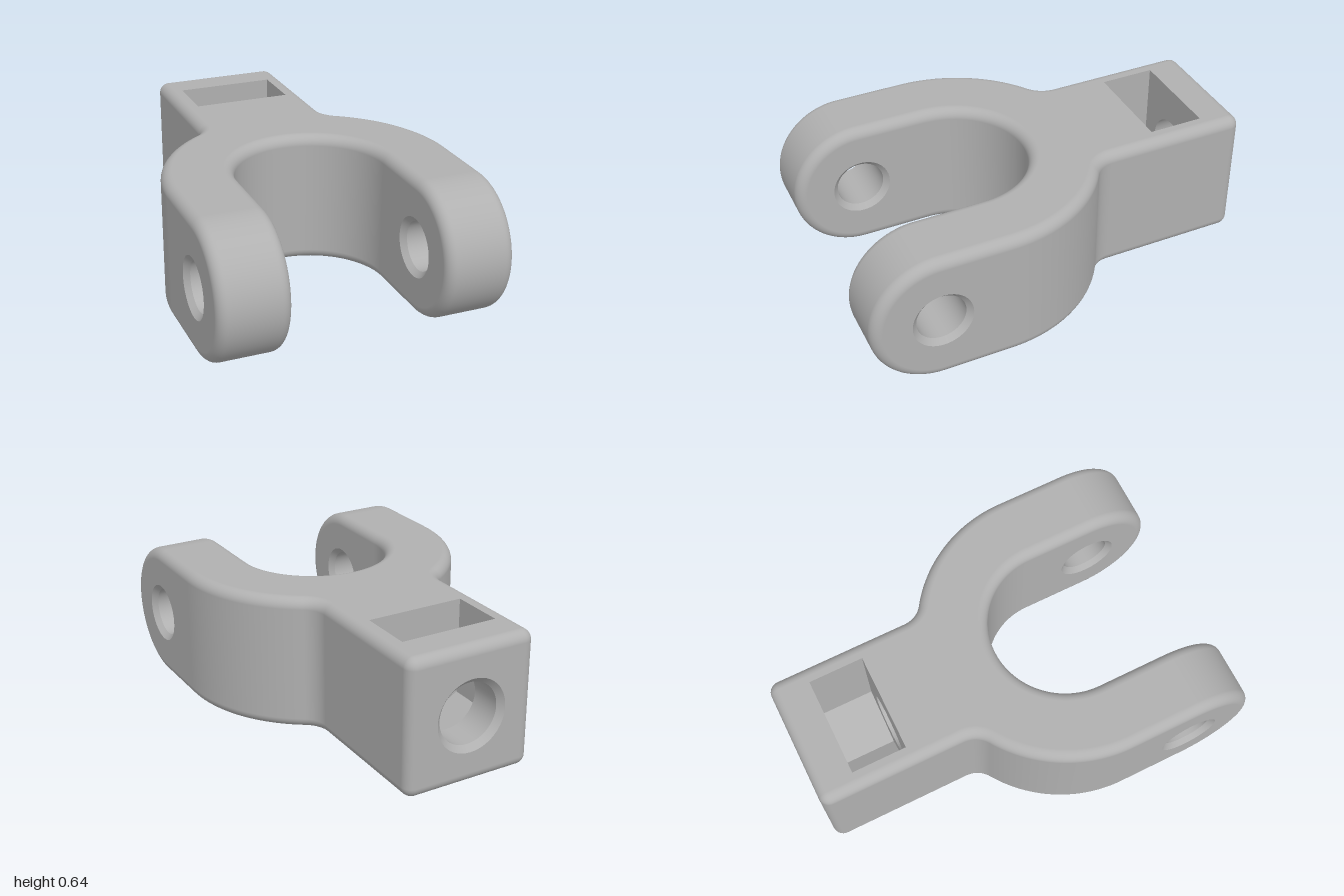
import * as THREE from 'three';

const H = 0.645, MID = H / 2, R = 0.05;          // body height and edge rounding
const INNER = 0.35, OUTER = 0.675, ZC = 0.35;    // fork arch radii and centre
const PIN_Z = 1 - MID, PIN_R = 0.115, PIN_CH = 0.025;
const BLOCK = 0.315, BLEND = 0.12;               // shank half width, neck blend
const SLOT = 0.235, SLOT_BACK = -0.82, SLOT_FRONT = -0.56;
const BORE_R = 0.145, BORE_CH = 0.027, BORE_END = -0.36;

const grey = new THREE.MeshStandardMaterial({ color: 0xb0b0b0, side: THREE.DoubleSide });
grey.name = 'light grey';

// Path points carry a position and an outward normal; sign -1 makes a concave arc
function arc(cx, cy, r, a0, a1, steps, sign = 1) {
  const pts = [];
  for (let i = 0; i <= steps; i++) {
    const a = a0 + (a1 - a0) * i / steps, c = Math.cos(a), s = Math.sin(a);
    pts.push({ u: cx + r * c, v: cy + r * s, nu: sign * c, nv: sign * s });
  }
  return pts;
}
const inset = (path, d) => path.map(p => new THREE.Vector2(p.u - p.nu * d, p.v - p.nv * d));

// Wall of given width along a path, both long edges rounded
function roundedWall(path, width, place, skipFlat = false) {
  const K = 8, prof = [];
  for (let i = 0; i <= 2 * K + 1; i++) {
    const top = i > K;
    const a = (top ? (i - K - 1) / K : i / K - 1) * Math.PI / 2;
    prof.push({ h: (top ? width - R : R) + R * Math.sin(a), d: R - R * Math.cos(a), c: Math.cos(a), s: Math.sin(a) });
  }
  const pos = [], nor = [], idx = [], P = [], N = [], n = prof.length;
  for (const p of path) for (const q of prof) {
    P.push(place(p.u - p.nu * q.d, p.v - p.nv * q.d, q.h));
    N.push(place(p.nu * q.c, p.nv * q.c, q.s).sub(place(0, 0, 0)));
  }
  P.forEach(p => pos.push(p.x, p.y, p.z));
  N.forEach(p => nor.push(p.x, p.y, p.z));
  const tri = (a, b, c) => {
    const g = P[b].clone().sub(P[a]).cross(P[c].clone().sub(P[a]));
    if (g.lengthSq() < 1e-16) return;
    idx.push(...(g.dot(N[a].clone().add(N[b]).add(N[c])) > 0 ? [a, b, c] : [a, c, b]));
  };
  for (let i = 0; i < path.length - 1; i++) for (let j = 0; j < n - 1; j++) {
    if (skipFlat && j === K) continue;
    const a = i * n + j, b = a + n;
    tri(a, b, b + 1);
    tri(a, b + 1, a + 1);
  }
  const g = new THREE.BufferGeometry();
  g.setAttribute('position', new THREE.Float32BufferAttribute(pos, 3));
  g.setAttribute('normal', new THREE.Float32BufferAttribute(nor, 3));
  g.setIndex(idx);
  return g;
}

// Flat plate with an optional round or polygonal opening
function plate(points, hole) {
  const s = new THREE.Shape(points);
  if (hole) s.holes.push(new THREE.Path(hole));
  return new THREE.ShapeGeometry(s);
}
const circle = (x, y, r) => arc(x, y, r, 0, Math.PI * 2, 48).slice(0, -1).map(p => new THREE.Vector2(p.u, p.v));
const rect = (x0, y0, x1, y1) => [[x0, y0], [x1, y0], [x1, y1], [x0, y1]].map(p => new THREE.Vector2(...p));
// Inward-facing bore wall from height h0 up to h1
const bore = (r0, h0, r1, h1) => new THREE.LatheGeometry([new THREE.Vector2(r1, h1), new THREE.Vector2(r0, h0)], 48);

function add(group, name, geometry) {
  const m = new THREE.Mesh(geometry, grey);
  m.name = name;
  group.add(m);
}

function makeBody() {
  const g = new THREE.Group();
  g.name = 'yokeBody';
  const place = (u, v, h) => new THREE.Vector3(u, h, v);

  // One side of the plan: shoulder arc, concave neck, straight shank, back corner
  const bx = BLOCK + BLEND, reach = OUTER + BLEND;
  const bz = ZC - Math.sqrt(reach * reach - bx * bx);
  const t = Math.atan2(bz - ZC, bx);
  const half = [
    ...arc(0, ZC, OUTER, 0, t, 40),
    ...arc(bx, bz, BLEND, t + Math.PI, Math.PI, 12, -1),
    ...arc(BLOCK - R, R - 1, R, 0, -Math.PI / 2, 8),
  ];
  const mirrored = half.map(p => ({ ...p, u: -p.u, nu: -p.nu })).reverse();
  const arch = arc(0, ZC, INNER, Math.PI, Math.PI * 2, 64, -1);
  add(g, 'leftWall', roundedWall(half, H, place));
  add(g, 'rightWall', roundedWall(mirrored, H, place));
  add(g, 'forkArch', roundedWall(arch, H, place));
  add(g, 'backEdges', roundedWall([half[half.length - 1], mirrored[0]], H, place, true));

  // Top with the slot opening, and the underside
  const plan = [...inset(half, R), ...inset(mirrored, R), ...inset(arch, R)];
  const flip = pts => pts.map(p => new THREE.Vector2(p.x, -p.y));
  const opening = rect(-SLOT, SLOT_BACK, SLOT, SLOT_FRONT);
  add(g, 'topFace', plate(flip(plan), flip(opening)).rotateX(-Math.PI / 2).translate(0, H, 0));
  add(g, 'underside', plate(plan).rotateX(Math.PI / 2));

  // Back face
  const w = BLOCK - R;
  add(g, 'backFace', plate(rect(-w, R, w, H - R), circle(0, MID, BORE_R + BORE_CH)).rotateY(Math.PI).translate(0, 0, -1));
  return g;
}

// Nut slot with a V floor, crossed by the lengthwise bore
function makeSlot() {
  const g = new THREE.Group();
  g.name = 'nutSlot';
  const k = SLOT / Math.sqrt(3);
  const section = [[-SLOT, H], [-SLOT, MID - k], [0, MID - 2 * k], [SLOT, MID - k], [SLOT, H]].map(p => new THREE.Vector2(...p));
  const depth = SLOT_FRONT - SLOT_BACK;
  for (let i = 0; i < 4; i++) {
    const a = section[i], b = section[i + 1];
    const face = new THREE.PlaneGeometry(a.distanceTo(b), depth).rotateX(-Math.PI / 2);
    face.rotateZ(Math.atan2(b.y - a.y, b.x - a.x));
    face.translate((a.x + b.x) / 2, (a.y + b.y) / 2, (SLOT_BACK + SLOT_FRONT) / 2);
    add(g, i === 0 || i === 3 ? 'slotSide' : 'slotFloor', face);
  }
  const end = () => plate(section, circle(0, MID, BORE_R));
  add(g, 'slotBackWall', end().translate(0, 0, SLOT_BACK));
  add(g, 'slotFrontWall', end().rotateY(Math.PI).translate(0, 0, SLOT_FRONT));

  const lay = geo => geo.rotateX(Math.PI / 2).translate(0, MID, 0);
  add(g, 'boreChamfer', lay(bore(BORE_R + BORE_CH, -1, BORE_R, -1 + BORE_CH)));
  add(g, 'backBore', lay(bore(BORE_R, -1 + BORE_CH, BORE_R, SLOT_BACK)));
  add(g, 'frontBore', lay(bore(BORE_R, SLOT_FRONT, BORE_R, BORE_END)));
  add(g, 'boreEnd', new THREE.CircleGeometry(BORE_R, 48).rotateY(Math.PI).translate(0, MID, BORE_END));
  return g;
}

// Rounded fork arm with a chamfered pin hole
function makeArm(name, x0) {
  const g = new THREE.Group();
  g.name = name;
  const width = OUTER - INNER, x1 = x0 + width;
  const path = [
    { u: ZC, v: H, nu: 0, nv: 1 },
    ...arc(PIN_Z, MID, MID, Math.PI / 2, -Math.PI / 2, 48),
    { u: ZC, v: 0, nu: 0, nv: -1 },
  ];
  add(g, 'armRim', roundedWall(path, width, (u, v, h) => new THREE.Vector3(x0 + h, v, u)));
  for (const side of [1, -1]) {
    const outline = inset(path, R).map(p => new THREE.Vector2(-side * p.x, p.y));
    const face = plate(outline, circle(-side * PIN_Z, MID, PIN_R + PIN_CH));
    add(g, 'armFace', face.rotateY(side * Math.PI / 2).translate(side > 0 ? x1 : x0, 0, 0));
  }
  const lay = geo => geo.rotateZ(-Math.PI / 2).translate(0, MID, PIN_Z);
  add(g, 'pinHole', lay(bore(PIN_R, x0 + PIN_CH, PIN_R, x1 - PIN_CH)));
  add(g, 'pinChamfer', lay(bore(PIN_R + PIN_CH, x0, PIN_R, x0 + PIN_CH)));
  add(g, 'pinChamfer', lay(bore(PIN_R, x1 - PIN_CH, PIN_R + PIN_CH, x1)));
  return g;
}

export function createModel() {
  const model = new THREE.Group();
  model.name = 'forkEnd';
  model.add(makeBody(), makeSlot(), makeArm('leftArm', INNER), makeArm('rightArm', -OUTER));
  return model;
}
